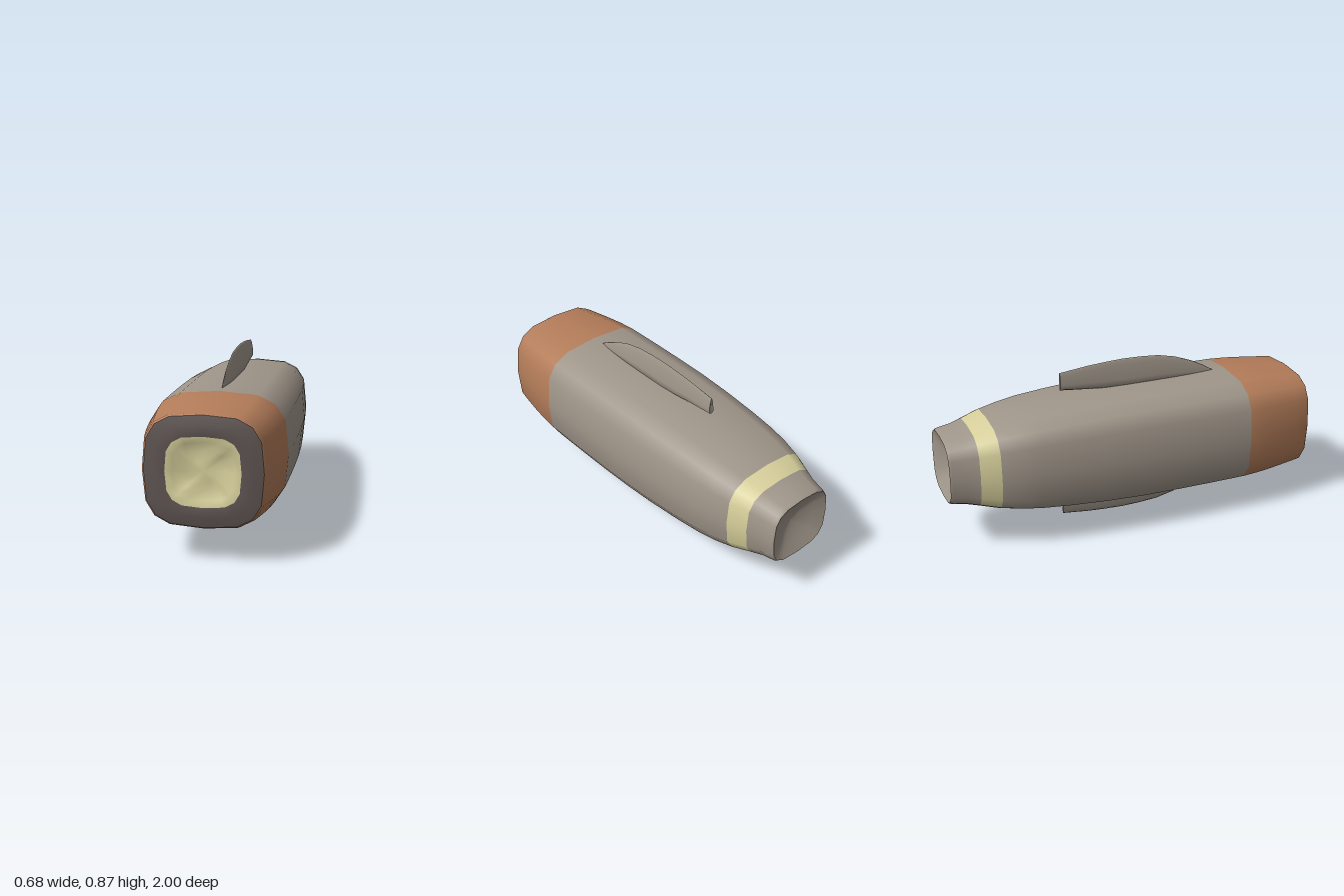
import * as THREE from 'three';

const CY = 0.4375; // height of the long axis
const SIDES = 16;

const flat = (name, color) => Object.assign(new THREE.MeshStandardMaterial({ color }), { name });

// Rounded-rectangle ring; optional bump(angle) shifts points along z
function ring(z, rx, ry, bump = () => 0) {
  const p = (v) => Math.sign(v) * Math.pow(Math.abs(v), 0.61);
  return Array.from({ length: SIDES }, (_, j) => {
    const a = (j / SIDES) * Math.PI * 2;
    return [rx * p(Math.cos(a)), ry * p(Math.sin(a)), z + bump(a)];
  });
}

// Skin over closed rings; spans = [[number of bands, material index], ...]
function loft(rings, spans) {
  const n = rings[0].length, index = [];
  for (let i = 0; i < rings.length - 1; i++) {
    for (let j = 0; j < n; j++) {
      const a = i * n + j, b = i * n + ((j + 1) % n);
      index.push(a, a + n, b, b, a + n, b + n);
    }
  }
  const g = new THREE.BufferGeometry();
  g.setAttribute('position', new THREE.Float32BufferAttribute(rings.flat(2), 3));
  g.setIndex(index);
  g.computeVertexNormals();
  let start = 0;
  for (const [bands, mat] of spans || []) {
    g.addGroup(start, bands * n * 6, mat);
    start += bands * n * 6;
  }
  return g;
}

export function createModel() {
  const model = new THREE.Group();
  const hullGrey = flat('hull grey', 0xa0968a);
  const copper = flat('copper', 0xb47d5a);
  const cream = flat('cream', 0xd8d09c);
  const charcoal = flat('charcoal', 0x5e5552);

  const add = (name, geometry, material, parent = model) => {
    const m = new THREE.Mesh(geometry, material);
    m.name = name;
    m.position.y = CY;
    parent.add(m);
    return m;
  };

  // Hull: copper nose, grey middle, cream band, grey tail
  const profile = [
    [0.985, 0.278, 0.263], [0.975, 0.287, 0.27], [0.9, 0.302, 0.276], [0.8, 0.318, 0.285],
    [0.7, 0.331, 0.293], [0.6, 0.339, 0.297],
    [0.4, 0.34, 0.298], [0.2, 0.339, 0.298], [0, 0.335, 0.297], [-0.2, 0.327, 0.289],
    [-0.4, 0.313, 0.277], [-0.55, 0.298, 0.265], [-0.65, 0.284, 0.25], [-0.755, 0.258, 0.23],
    [-0.855, 0.222, 0.203],
    [-0.92, 0.2, 0.186], [-0.985, 0.188, 0.177], [-1, 0.18, 0.17],
  ];
  add('hull', loft(profile.map((p) => ring(...p)), [[5, 0], [8, 1], [1, 2], [3, 1]]),
    [copper, hullGrey, cream]);

  // Nose face: shallow cream dish with a twisted four-armed star, charcoal surround
  const star = (size) => (a) => size * Math.cos(4 * (a - 1.0));
  add('noseFace', loft([
    ring(0.975, 0, 0),
    ring(0.975, 0.05, 0.045),
    ring(0.975, 0.1, 0.09, star(0.008)),
    ring(0.987, 0.145, 0.135, star(0.008)),
    ring(0.998, 0.177, 0.166),
    ring(0.996, 0.23, 0.215),
    ring(0.985, 0.278, 0.263),
  ], [[4, 0], [2, 1]]), [cream, charcoal]);

  // Tail face: shallow hollow
  add('tailHollow', loft([
    ring(-1, 0.18, 0.17), ring(-0.97, 0.12, 0.113), ring(-0.945, 0.06, 0.056), ring(-0.935, 0, 0),
  ]), hullGrey);

  // Fins: [z, base height, tip height, half thickness], heights from the axis
  const finSections = [
    [0.53, 0.28, 0.296, 0.002], [0.47, 0.28, 0.332, 0.009], [0.4, 0.28, 0.368, 0.015],
    [0.3, 0.28, 0.405, 0.02], [0.2, 0.28, 0.427, 0.021], [0.1, 0.28, 0.434, 0.021],
    [0, 0.28, 0.4365, 0.02], [-0.1, 0.285, 0.432, 0.018], [-0.2, 0.296, 0.425, 0.016],
    [-0.355, 0.312, 0.407, 0.014],
  ];
  // Half outline of the blade: [share of thickness, share of height]
  const blade = [[1, 0.1], [0.97, 0.3], [0.8, 0.55], [0.5, 0.8], [0.2, 0.95]];
  const outline = [...blade, [0, 1], ...blade.slice().reverse().map(([x, y]) => [-x, y]), [0, 0]];
  const finRings = finSections.map(([z, y0, y1, w]) =>
    outline.map(([x, y]) => [x * w, y0 + y * (y1 - y0), z]));
  const last = finRings[finRings.length - 1];
  const endCap = [last, last.map(() => [0, 0.36, -0.35])];

  for (const [name, turn] of [['topFin', 0], ['bottomFin', Math.PI]]) {
    const fin = new THREE.Group();
    fin.name = name;
    add(name + 'Blade', loft(finRings), hullGrey, fin).rotation.z = turn;
    add(name + 'End', loft(endCap), hullGrey, fin).rotation.z = turn;
    model.add(fin);
  }
  return model;
}
